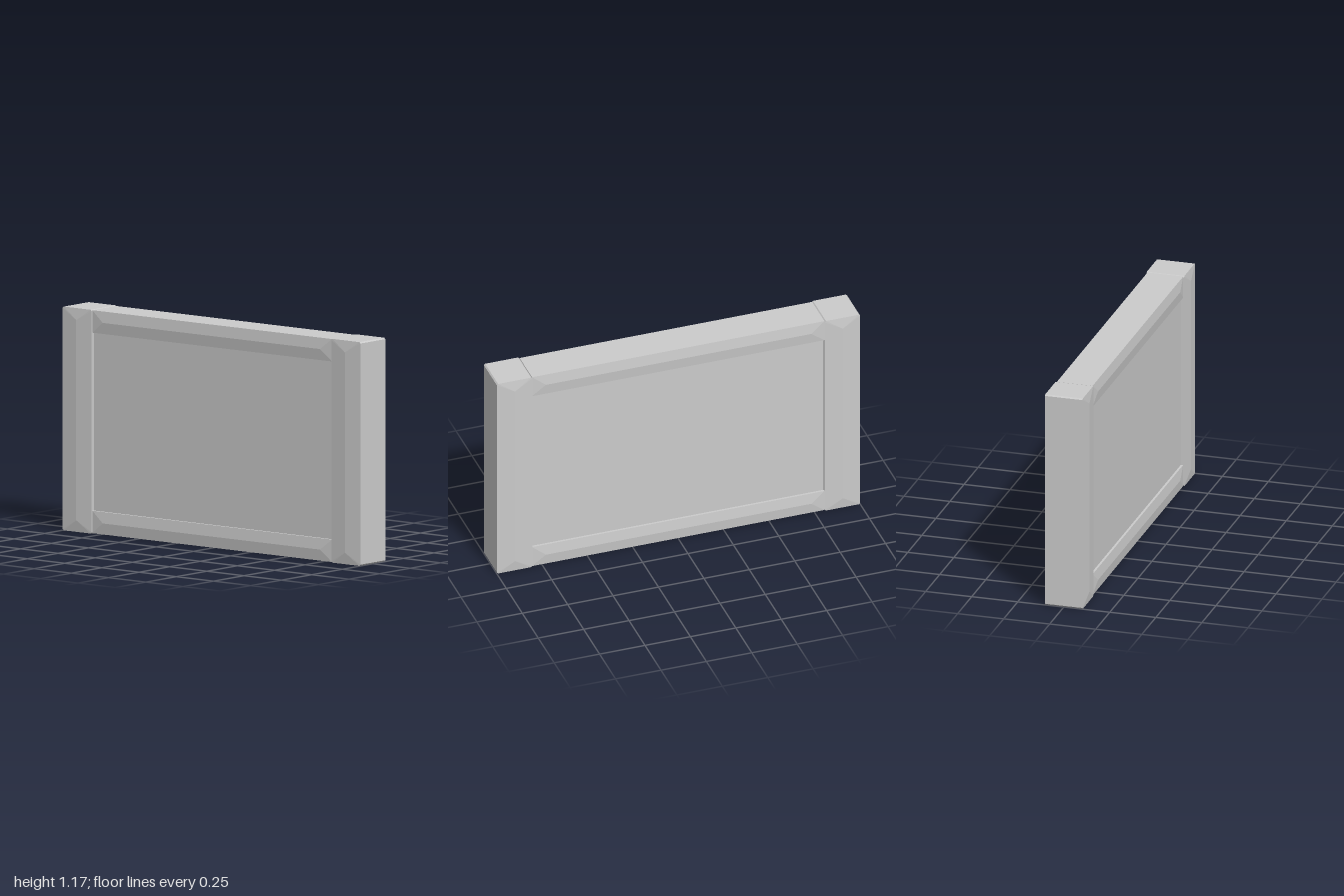
import * as THREE from 'three';
import { ConvexGeometry } from 'three/addons/geometries/ConvexGeometry.js';

const material = new THREE.MeshStandardMaterial({ color: 0xcccccc, flatShading: true });

// Frame bar with clipped corners and a shallow hipped ridge on front and back.
// len runs along x, wide along y; hip is the ridge's distance from each end.
function barGeometry(len, wide, edgeZ, ridgeZ, hip, clip) {
  const points = [];
  const a = len / 2, b = wide / 2;
  for (const sz of [-1, 1]) {
    for (const sx of [-1, 1]) {
      for (const sy of [-1, 1]) {
        points.push(new THREE.Vector3(sx * (a - clip), sy * b, sz * edgeZ));
        if (clip > 0) points.push(new THREE.Vector3(sx * a, sy * (b - clip), sz * edgeZ));
      }
      points.push(new THREE.Vector3(sx * (a - hip), 0, sz * ridgeZ));
    }
  }
  return new ConvexGeometry(points);
}

export function createModel() {
  const model = new THREE.Group();
  const height = 1.175, inner = 0.805;

  const add = (name, geometry, x, y) => {
    const mesh = new THREE.Mesh(geometry, material);
    mesh.name = name;
    mesh.position.set(x, y, 0);
    model.add(mesh);
  };

  // Upright side posts
  const post = barGeometry(height, 1 - inner, 0.102, 0.11, 0.062, 0.007).rotateZ(Math.PI / 2);
  add('leftPost', post, (1 + inner) / 2, height / 2);
  add('rightPost', post, -(1 + inner) / 2, height / 2);

  // Top and bottom rails between the posts
  const rail = barGeometry(inner * 2, 0.118, 0.097, 0.104, 0.075, 0);
  add('topRail', rail, 0, height - 0.061);
  add('bottomRail', rail, 0, 0.061);

  // Recessed centre panel
  add('panel', new THREE.BoxGeometry(inner * 2, height - 0.24, 0.17), 0, height / 2);

  return model;
}
